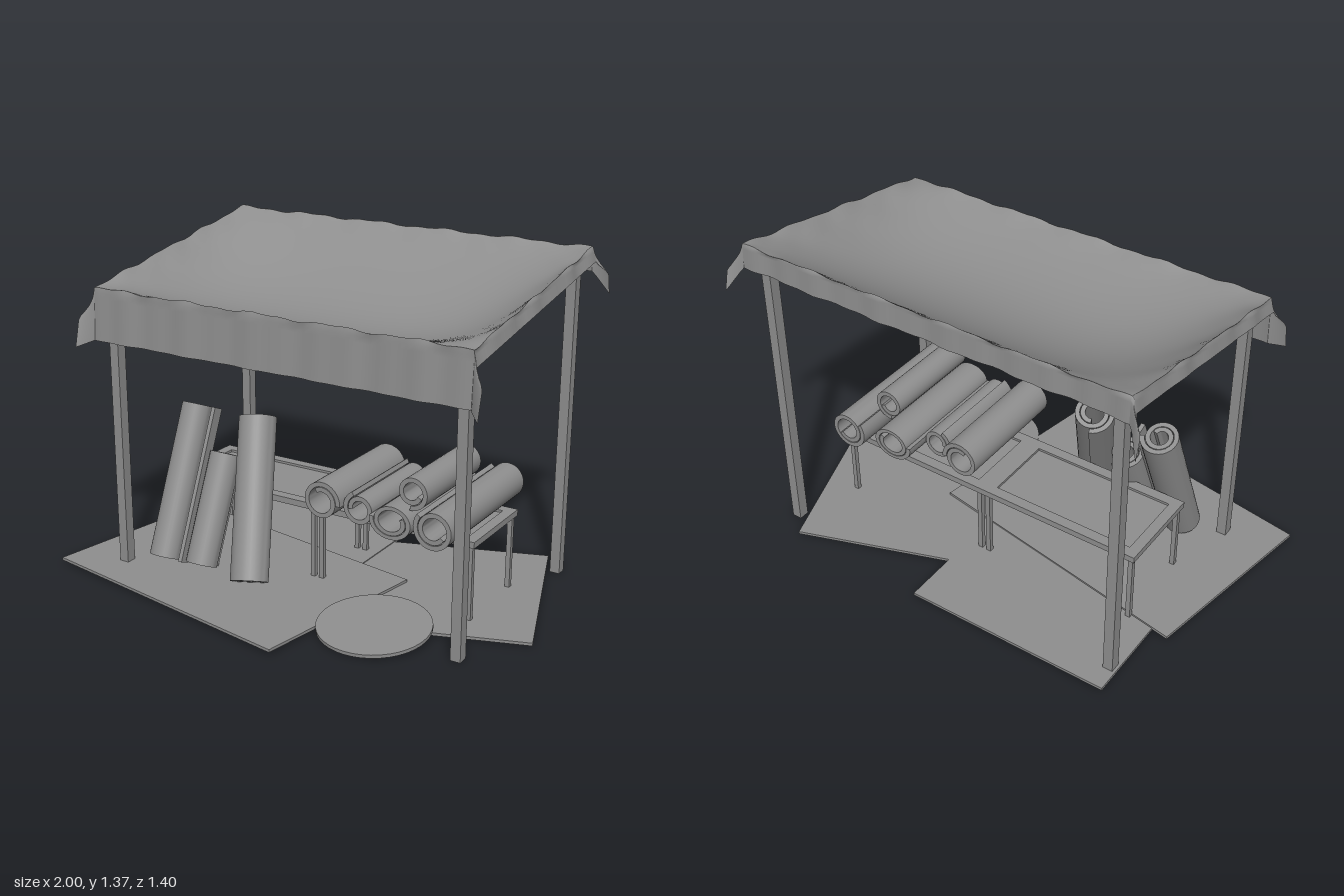
import * as THREE from 'three';
import { toCreasedNormals } from 'three/addons/utils/BufferGeometryUtils.js';

const mat = new THREE.MeshStandardMaterial({ color: 0x8e8e8e });
const clothMat = new THREE.MeshStandardMaterial({ color: 0x8e8e8e, side: THREE.DoubleSide });
const V = (x, y, z) => new THREE.Vector3(x, y, z);

export function createModel() {
  const model = new THREE.Group();

  const add = (name, geo, x = 0, y = 0, z = 0, parent = model, material = mat) => {
    const mesh = new THREE.Mesh(geo, material);
    mesh.name = name;
    mesh.position.set(x, y, z);
    parent.add(mesh);
    return mesh;
  };
  const box = (name, w, h, d, x, y, z, parent) => add(name, new THREE.BoxGeometry(w, h, d), x, y, z, parent);

  // A box laid between two points
  const beam = (name, from, to, w, h) => {
    const mid = from.clone().lerp(to, 0.5);
    box(name, w, h, from.distanceTo(to), mid.x, mid.y, mid.z).lookAt(to);
  };

  // Posts and the rails they carry
  const xs = [-0.75, 0.81], zF = 0.34, zB = -0.565;
  for (const x of xs) {
    box('frontPost', 0.042, 1.15, 0.045, x, 0.575, zF);
    box('backPost', 0.042, 1.29, 0.045, x, 0.645, zB);
  }
  beam('sideRail', V(xs[0], 1.1, zF), V(xs[0], 1.235, zB), 0.02, 0.055);
  beam('frontRail', V(xs[0], 1.13, zF), V(xs[1], 1.13, zF), 0.02, 0.03);
  beam('backRail', V(xs[0], 1.27, zB), V(xs[1], 1.27, zB), 0.02, 0.03);

  add('canopy', canopyGeometry(), 0, 0, 0, model, clothMat);

  // Ground mats: width, depth, centre and turn
  const mats = [
    [1.22, 0.81, -0.325, 0.017, 0.28 - 0.1, -0.173],
    [1.22, 0.81, 0.29, 0.006, -0.079, 0.34],
    [0.885, 0.55, -0.34, 0.01, -0.405, 0],
  ];
  for (const [w, d, x, y, z, turn] of mats) box('groundMat', w, 0.012, d, x, y, z).rotation.y = turn;
  add('roundMat', toCreasedNormals(new THREE.CylinderGeometry(0.225, 0.225, 0.014, 40), 0.6), 0.44, 0.027, 0.315)
    .rotation.x = 0.07;

  // Two tables, end to end, each with a sunken panel
  for (const cx of [-0.335, 0.375]) {
    const table = new THREE.Group();
    table.name = 'table';
    table.position.set(cx, 0, -0.125);
    model.add(table);
    box('tablePanel', 0.66, 0.014, 0.34, 0, 0.329, 0, table);
    for (const s of [-1, 1]) {
      box('tableLongEdge', 0.71, 0.026, 0.045, 0, 0.333, s * 0.1725, table);
      box('tableEndEdge', 0.045, 0.026, 0.3, s * 0.3325, 0.333, 0, table);
      for (const t of [-1, 1]) box('tableLeg', 0.02, 0.32, 0.02, s * 0.335, 0.16, t * 0.175, table);
    }
  }

  // Rolls lying on the table: x, y, front z, back z, radius, turns, start angle, squash
  const lying = [
    [0.134, 0.433, 0.21, -0.31, 0.086, 1.35, -0.1, 1],
    [0.287, 0.423, 0.18, -0.26, 0.073, 1.2, 2.0, 1],
    [0.445, 0.415, 0.21, -0.36, 0.096, 1.6, 3.0, 0.8],
    [0.637, 0.431, 0.23, -0.405, 0.088, 1.5, 2.5, 1],
    [0.512, 0.535, 0.17, -0.28, 0.072, 1.2, 4.6, 1],
  ];
  for (const [x, y, z0, z1, r, turns, start, squash] of lying)
    addRoll('lyingRoll', V(x, y, z1), V(x, y, z0), r, turns, start, squash);

  // Rolls leaning against the table
  addRoll('leaningRoll', V(-0.585, 0.055, 0.285), V(-0.585, 0.655, 0.03), 0.083, 1.9, 0.3);
  addRoll('leaningRoll', V(-0.415, 0.05, 0.26), V(-0.415, 0.48, 0.07), 0.08, 1.8, 1.2);
  addRoll('leaningRoll', V(-0.145, 0.055, 0.3), V(-0.285, 0.65, 0.02), 0.09, 2, 2.2);
  // Loose end of the first roll
  beam('looseEnd', V(-0.497, 0.05, 0.285), V(-0.493, 0.655, 0.03), 0.018, 0.05);

  function addRoll(name, from, to, r, turns, start, squash = 1) {
    const dir = to.clone().sub(from);
    const mesh = add(name, rollGeometry(r, dir.length(), turns, start), from.x, from.y, from.z);
    mesh.quaternion.setFromUnitVectors(V(0, 0, 1), dir.normalize());
    mesh.scale.y = squash;
  }
  return model;
}

// A sheet wound inwards in a spiral, extruded along z
function rollGeometry(r, length, turns, start) {
  const wall = 0.019, pitch = 0.022, n = Math.round(turns * 30);
  const outer = [], inner = [];
  for (let i = 0; i <= n; i++) {
    const t = (i / n) * turns, a = start + t * Math.PI * 2, ro = r - pitch * t;
    outer.push(new THREE.Vector2(Math.cos(a) * ro, Math.sin(a) * ro));
    inner.push(new THREE.Vector2(Math.cos(a) * (ro - wall), Math.sin(a) * (ro - wall)));
  }
  const shape = new THREE.Shape([...outer, ...inner.reverse()]);
  const geo = new THREE.ExtrudeGeometry(shape, { depth: length, bevelEnabled: false });
  return toCreasedNormals(geo, 0.7);
}

// Sagging cloth with hems that fall over the frame and bunch out at the corners
function canopyGeometry() {
  const X0 = -0.825, X1 = 0.85, Z0 = -0.645, Z1 = 0.375;
  const side = 0.06, back = 0.1, front = 0.215;
  const spread = (lo, hi, o0, o1, n, m) => {
    const out = [];
    for (let i = 0; i < m; i++) out.push(lo - o0 * (1 - i / m));
    for (let i = 0; i <= n; i++) out.push(lo + (hi - lo) * (0.5 - 0.5 * Math.cos((Math.PI * i) / n)));
    for (let i = 1; i <= m; i++) out.push(hi + (o1 * i) / m);
    return out;
  };
  const as = spread(X0, X1, side, side, 70, 6), bs = spread(Z0, Z1, back, front, 40, 10);
  const pos = [], idx = [];
  for (const b of bs) for (const a of as) {
    const cx = THREE.MathUtils.clamp(a, X0, X1), cz = THREE.MathUtils.clamp(b, Z0, Z1);
    const da = Math.abs(a - cx), db = Math.abs(b - cz), sx = Math.sign(a - cx), sz = Math.sign(b - cz);
    const isFront = sz > 0;
    const fall = db / (isFront ? front : back);
    const k = (da / side) * fall;
    const flare = (da / side) * THREE.MathUtils.smoothstep(fall, 0, 0.4);
    const t = (2 * (cx - X0)) / (X1 - X0) - 1, s = (2 * (cz - Z0)) / (Z1 - Z0) - 1;
    const sag = 0.18 * (1 - t ** 4) * (1 - s * s);
    const rim = Math.max(Math.abs(t), Math.abs(s)) ** 12;
    const ripple = rim * (0.004 * Math.sin(cx * 19 + cz * 23) + 0.003 * Math.sin(cx * 43 - cz * 37));
    const x = cx + sx * (da * 0.25 + 0.04 * flare + ripple);
    const z = cz + sz * (db * 0.06 + 0.025 * flare + 0.03 * k + ripple);
    const y = 1.197 + ((Z1 - cz) / (Z1 - Z0)) * 0.17 - sag + ripple * (1 - fall)
      - da * (1 - 0.6 * fall) - db - (isFront ? 0 : 0.07 * k);
    pos.push(x, y, z);
  }
  const w = as.length;
  for (let j = 0; j < bs.length - 1; j++) for (let i = 0; i < w - 1; i++) {
    const p = j * w + i;
    idx.push(p, p + w, p + 1, p + 1, p + w, p + w + 1);
  }
  const geo = new THREE.BufferGeometry();
  geo.setAttribute('position', new THREE.Float32BufferAttribute(pos, 3));
  geo.setIndex(idx);
  geo.computeVertexNormals();
  return geo;
}
